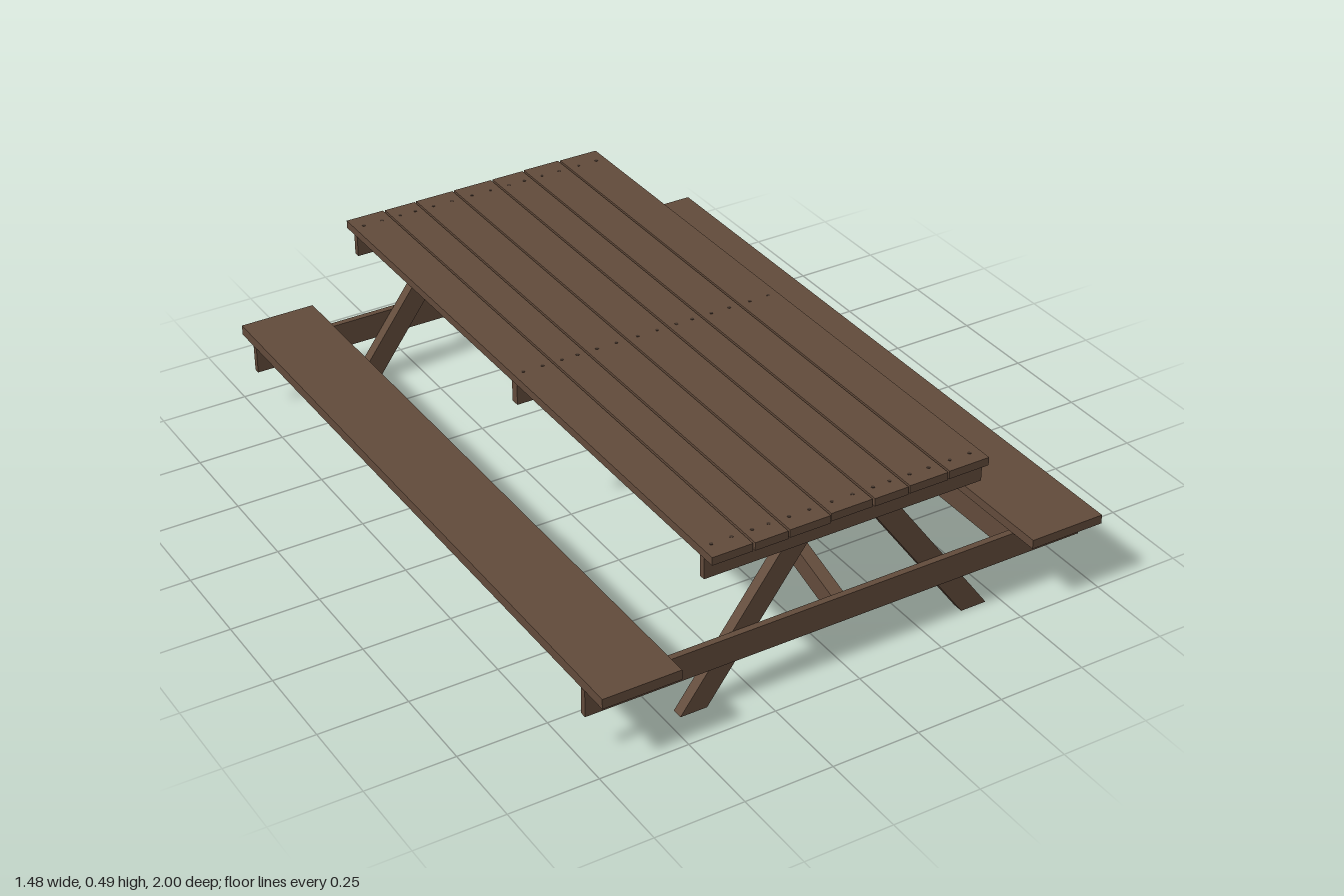
import * as THREE from 'three';

export function createModel() {
  const group = new THREE.Group();
  const wood = new THREE.MeshStandardMaterial({ color: 0x624b3b });
  wood.name = 'brown wood';
  const metal = new THREE.MeshStandardMaterial({ color: 0x45362c });
  metal.name = 'dark screw';

  const add = (name, geometry, material = wood) => {
    const mesh = new THREE.Mesh(geometry, material);
    mesh.name = name;
    group.add(mesh);
    return mesh;
  };

  // Plank given by its lower and upper limits on each axis
  const plank = (name, x0, x1, y0, y1, z0, z1) => {
    const mesh = add(name, new THREE.BoxGeometry(x1 - x0, y1 - y0, z1 - z0));
    mesh.position.set((x0 + x1) / 2, (y0 + y1) / 2, (z0 + z1) / 2);
    return mesh;
  };

  // Flat outline extruded to a thickness, starting at z = 0
  const cut = (points, depth) => new THREE.ExtrudeGeometry(
    new THREE.Shape(points.map(([x, y]) => new THREE.Vector2(x, y))),
    { depth, bevelEnabled: false });

  // Table top boards, slightly uneven in width and length
  const edges = [-0.415, -0.295, -0.195, -0.072, 0.054, 0.159, 0.279, 0.405];
  const backEnds = [-0.968, -0.967, -0.969, -0.971, -0.972, -0.975, -0.973];
  const frontEnds = [0.956, 0.957, 0.955, 0.949, 0.951, 0.949, 0.947];
  const gap = 0.003;
  const screw = new THREE.CylinderGeometry(0.005, 0.005, 0.002, 8);
  for (let i = 0; i < 7; i++) {
    const x0 = edges[i] + gap, x1 = edges[i + 1] - gap;
    plank('tableBoard', x0, x1, 0.468, 0.491, backEnds[i], frontEnds[i]);
    // Two screws per board above every cleat
    for (const z of [-0.918, -0.003, 0.906]) {
      for (const t of [0.25, 0.75]) {
        add('screw', screw, metal).position.set(x0 + (x1 - x0) * t, 0.491, z);
      }
    }
  }

  // Centre cleat under the table top
  plank('centreCleat', -0.41, 0.405, 0.405, 0.468, -0.016, 0.01);

  // End frames: outer cleat and cross beam, with splayed legs on the inside
  for (const [end, face] of [[1, 0.9], [-1, -0.909]]) {
    const z0 = Math.min(face, face + end * 0.018);
    plank('endCleat', -0.41, 0.405, 0.405, 0.468, z0, z0 + 0.018);
    plank('crossBeam', -0.74, 0.737, 0.126, 0.203, z0, z0 + 0.018);
    for (const side of [-1, 1]) {
      const outline = [[0.385, 0], [0.462, 0], [0.122, 0.468], [0.045, 0.468]];
      const leg = add('leg', cut(outline.map(([x, y]) => [x * side, y]), 0.031));
      leg.position.z = end > 0 ? face - 0.031 : face;
    }
  }

  // Diagonal braces from the centre cleat down to the cross beams
  for (const end of [-1, 1]) {
    const reach = end > 0 ? 0.9 : 0.909;
    const drop = reach * 0.31;
    const outline = [[0, 0.407], [reach, 0.407 - drop], [reach, 0.468 - drop], [0, 0.468]];
    // Turned so the outline's x runs along z
    const brace = add('brace', cut(outline.map(([x, y]) => [-x * end, y]), 0.036));
    brace.rotation.y = Math.PI / 2;
    brace.position.x = -0.018;
  }

  // Benches with a stiffening rail beneath the inner edge
  for (const side of [-1, 1]) {
    const bench = plank('benchSeat', -0.11, 0.11, 0.204, side < 0 ? 0.233 : 0.23, -1, 1);
    bench.position.x = side * 0.63;
    const rail = plank('benchRail', -0.0125, 0.0125, 0.13, 0.204, -0.909, 0.9);
    rail.position.x = side * 0.54;
  }

  return group;
}
